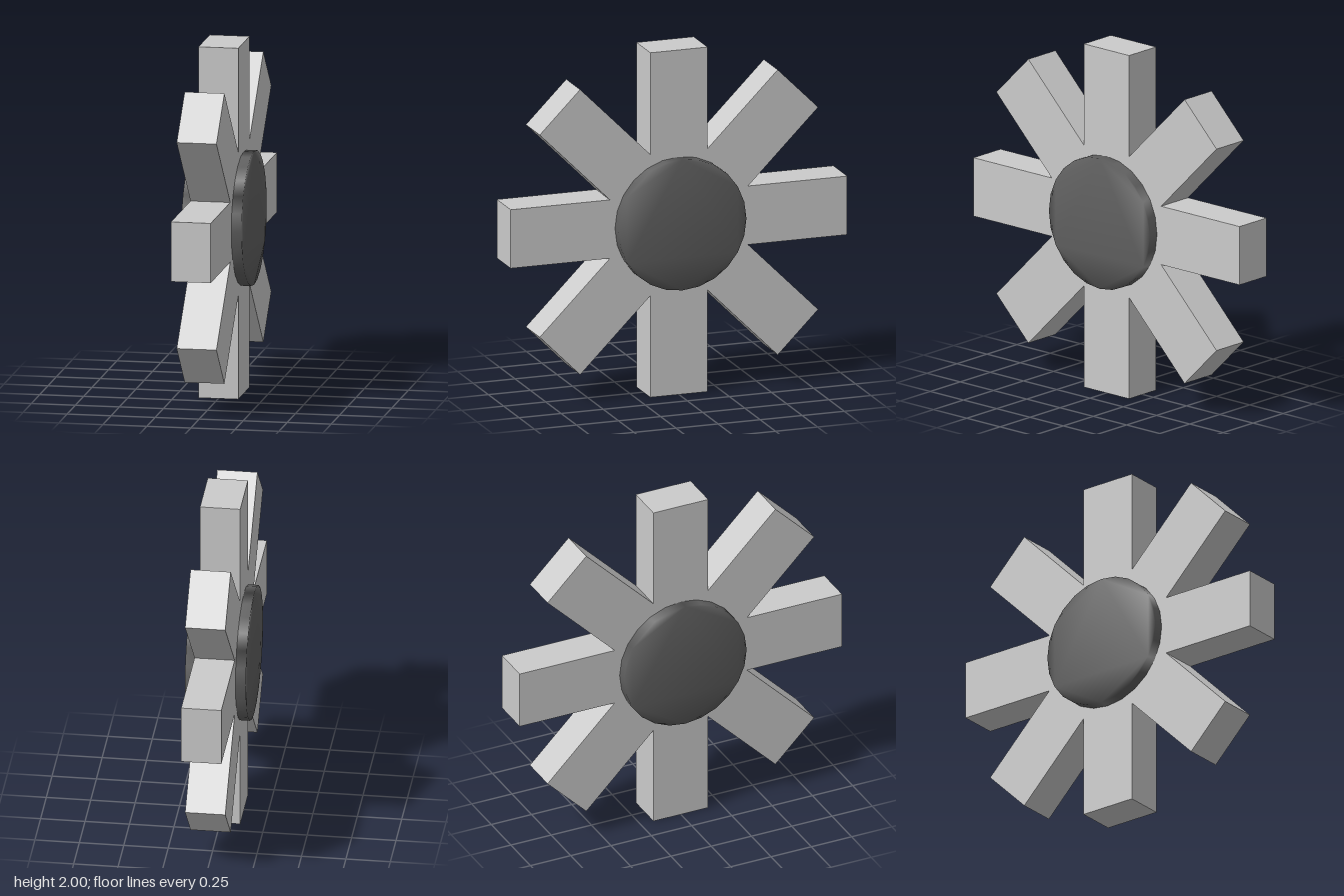
import * as THREE from 'three';
import { mergeVertices } from 'three/addons/utils/BufferGeometryUtils.js';

const ARMS = 8, ARM_LENGTH = 1, ARM_HALF = 0.17, ARM_DEPTH = 0.226;
const HUB_RADIUS = 0.38, HUB_DEPTH = 0.342, HUB_SIDES = 24;

// Extrude an outline, centred, with its axis along x
function slab(points, depth) {
  const geometry = new THREE.ExtrudeGeometry(new THREE.Shape(points), { depth, bevelEnabled: false });
  return geometry.translate(0, 0, -depth / 2).rotateY(Math.PI / 2);
}

export function createModel() {
  const model = new THREE.Group();
  model.name = 'spokedWheel';

  // Eight square-ended arms joined into a single star outline
  const origin = new THREE.Vector2();
  const notch = ARM_HALF / Math.tan(Math.PI / ARMS);
  const outline = [];
  for (let i = 0; i < ARMS; i++) {
    const angle = (i * 2 * Math.PI) / ARMS;
    for (const [x, y] of [[ARM_LENGTH, -ARM_HALF], [ARM_LENGTH, ARM_HALF], [notch, ARM_HALF]]) {
      outline.push(new THREE.Vector2(x, y).rotateAround(origin, angle));
    }
  }
  const arms = new THREE.Mesh(
    slab(outline, ARM_DEPTH),
    new THREE.MeshStandardMaterial({ color: 0xcccccc, flatShading: true })
  );
  arms.name = 'arms';

  // Dark hub disc, its normals shared between rim and caps
  const circle = [];
  for (let i = 0; i < HUB_SIDES; i++) {
    const a = (i * 2 * Math.PI) / HUB_SIDES;
    circle.push(new THREE.Vector2(Math.cos(a), Math.sin(a)).multiplyScalar(HUB_RADIUS));
  }
  let hubGeometry = slab(circle, HUB_DEPTH);
  hubGeometry.deleteAttribute('normal');
  hubGeometry.deleteAttribute('uv');
  hubGeometry = mergeVertices(hubGeometry, 1e-4);
  hubGeometry.computeVertexNormals();
  const hub = new THREE.Mesh(hubGeometry, new THREE.MeshStandardMaterial({ color: 0x606060 }));
  hub.name = 'hub';

  model.add(arms, hub);
  for (const part of model.children) part.position.y = ARM_LENGTH;
  return model;
}
